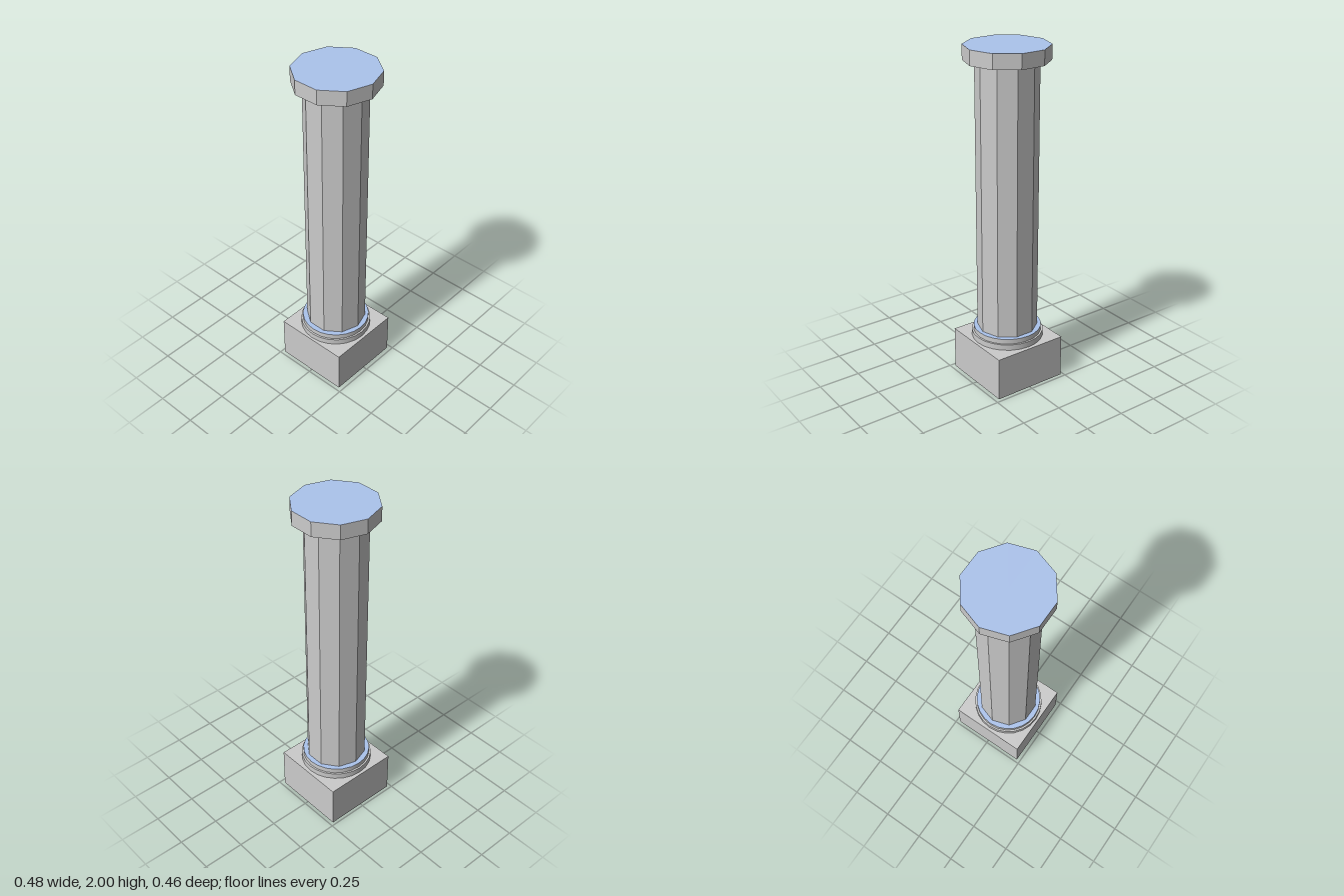
import * as THREE from 'three';

const grey = new THREE.MeshStandardMaterial({ color: 0xcccccc });
const greyFlat = new THREE.MeshStandardMaterial({ color: 0xcccccc, flatShading: true });
const blue = new THREE.MeshStandardMaterial({ color: 0xacc4ed });

// Upright prism or drum between two heights, with a corner on the x axis
function drum(name, radius, y0, y1, sides, sideMaterial, capMaterial, x = 0, z = 0) {
  const geometry = new THREE.CylinderGeometry(radius, radius, y1 - y0, sides, 1, false, Math.PI / 2);
  const mesh = new THREE.Mesh(geometry, [sideMaterial, capMaterial, capMaterial]);
  mesh.position.set(x, (y0 + y1) / 2, z);
  mesh.name = name;
  return mesh;
}

export function createModel() {
  const column = new THREE.Group();
  column.name = 'column';

  // Square block at the foot
  const plinth = new THREE.Mesh(new THREE.BoxGeometry(0.456, 0.26, 0.456), grey);
  plinth.name = 'plinth';
  plinth.position.set(-0.004, 0.13, 0);
  column.add(plinth);

  // Two round steps above the plinth
  column.add(drum('lowerBaseRing', 0.211, 0.26, 0.295, 24, grey, grey, -0.004, 0.003));
  column.add(drum('upperBaseRing', 0.2, 0.295, 0.325, 24, grey, blue, -0.004, 0.003));

  // Ten-sided shaft and capital
  column.add(drum('shaft', 0.177, 0.325, 1.915, 10, greyFlat, grey, -0.003, 0.002));
  column.add(drum('capital', 0.24, 1.915, 2, 10, greyFlat, blue));

  return column;
}
